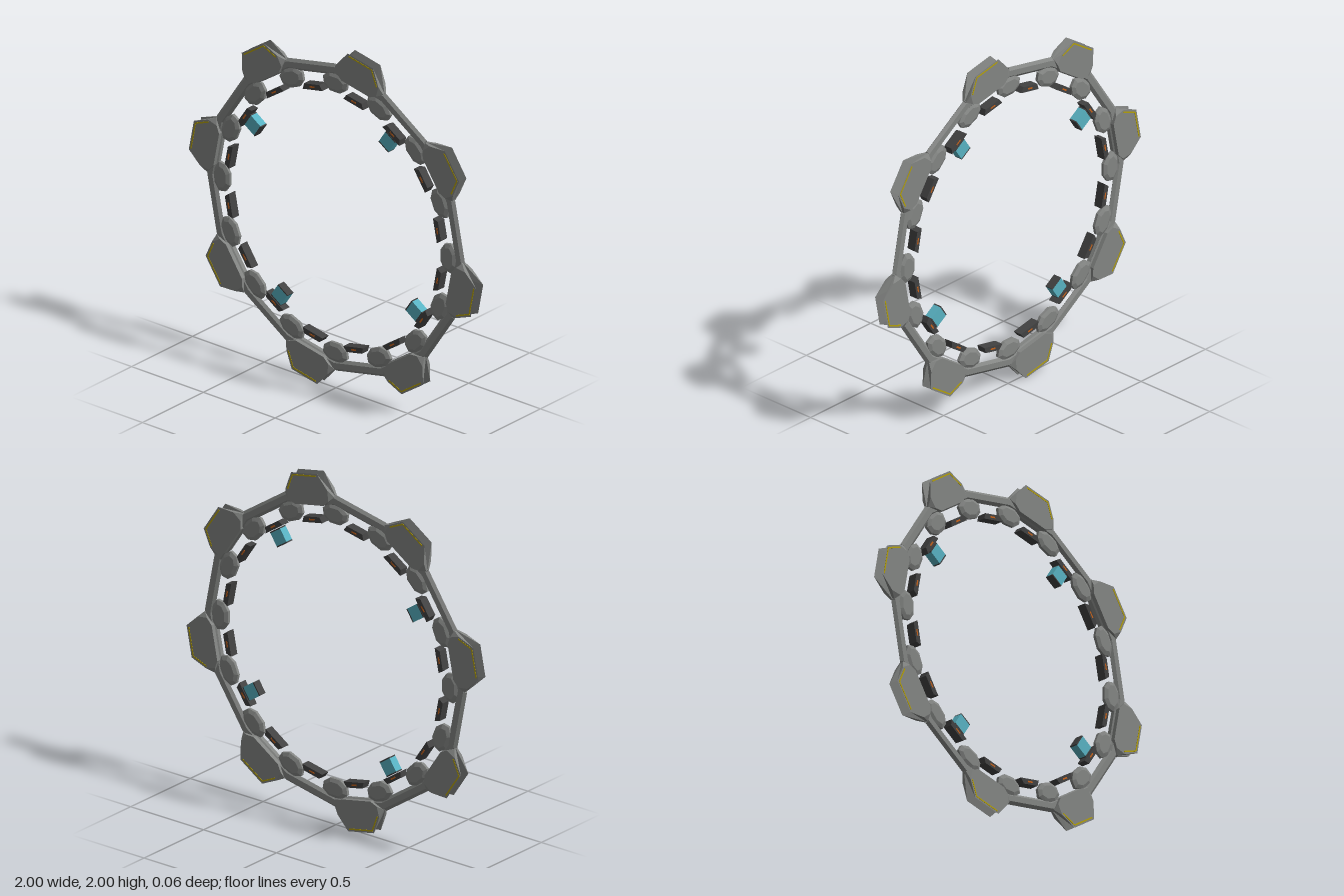
import * as THREE from 'three';
import { ConvexGeometry } from 'three/addons/geometries/ConvexGeometry.js';

const mat = (name, color) => {
  const m = new THREE.MeshStandardMaterial({ color });
  m.name = name;
  return m;
};

export function createModel() {
  const grey = mat('hull grey', 0x838583);
  const dark = mat('dark panel', 0x424242);
  const blue = mat('teal', 0x58b2c2);
  const yellow = mat('trim yellow', 0xb4a008);
  const orange = mat('lamp orange', 0xc4621c);

  const model = new THREE.Group();
  model.name = 'ringStation';
  const ring = new THREE.Group();
  ring.name = 'ring';
  ring.position.y = 1;
  model.add(ring);

  const add = (parent, name, geometry, material, x = 0, y = 0, z = 0) => {
    const m = new THREE.Mesh(geometry, material);
    m.name = name;
    m.position.set(x, y, z);
    parent.add(m);
    return m;
  };
  // A holder turned clockwise from the top; local y points outward
  const spoke = (name, degrees) => {
    const g = new THREE.Group();
    g.name = name;
    g.rotation.z = -THREE.MathUtils.degToRad(degrees);
    ring.add(g);
    return g;
  };
  // Convex solid from points mirrored across x
  const mirroredHull = (points) => new ConvexGeometry(
    points.flatMap(([x, y, z]) => [new THREE.Vector3(x, y, z), new THREE.Vector3(-x, y, z)]));

  // Armour half: flat face, bevelled ends, outer edge cut back to a central groove
  const half = (s) => mirroredHull([
    [0.09, 1.002, 0.03 * s], [0.145, 0.913, 0.03 * s], [0.172, 0.872, 0.012 * s],
    [0.172, 0.872, 0], [0.14, 0.85, 0.03 * s], [0.1, 0.825, 0.03 * s],
    [0.1, 0.825, 0], [0.09, 0.89, 0],
  ]);
  const halves = [1, -1].map((s) => [s, half(s)]);

  // Node: faceted lump, wide across the ring and shallow in depth
  const rim = [[0.085, 0.808], [0.077, 0.765], [0.035, 0.735], [0.04, 0.843]];
  const nodeGeo = mirroredHull(rim.flatMap(([x, y]) => [1, -1].flatMap((s) => [
    [x, y, 0.008 * s], [x * 0.72, 0.79 + (y - 0.79) * 0.65, 0.018 * s],
  ])));

  // Panel: trapezoid block
  const panelGeo = mirroredHull([1, -1].flatMap((s) => [
    [0.054, 0.757, 0.026 * s], [0.07, 0.725, 0.026 * s],
  ]));

  // Beam: six-sided bar with two corners on the radial axis, one chord of the ring
  const beamGeo = new THREE.CylinderGeometry(1, 1, 0.345, 6).toNonIndexed();
  beamGeo.rotateZ(Math.PI / 2);
  beamGeo.rotateX(Math.PI / 2);
  beamGeo.scale(1, 0.032, 0.017);
  beamGeo.computeVertexNormals();

  const stripe = (parent, [x1, y1], [x2, y2], z) => {
    const g = new THREE.BoxGeometry(Math.hypot(x2 - x1, y2 - y1), 0.008, 0.002);
    const m = add(parent, 'trimStripe', g, yellow, (x1 + x2) / 2, (y1 + y2) / 2, z);
    m.rotation.z = Math.atan2(y2 - y1, x2 - x1);
  };

  for (let i = 0; i < 16; i++) {
    const section = spoke('section', (i + 0.5) * 22.5);
    add(section, 'beam', beamGeo, grey, 0, 0.85, 0);
    add(section, 'panel', panelGeo, dark);
    add(section, 'panelLamp', new THREE.BoxGeometry(0.036, 0.009, 0.0535), orange, 0, 0.741, 0);
    add(spoke('joint', i * 22.5), 'node', nodeGeo, grey);

    // Armour on every second section, trimmed on its outer and clockwise edges
    if (i % 2 === 0) {
      for (const [s, geo] of halves) {
        add(section, 'armour', geo, grey);
        stripe(section, [-0.08, 0.989], [0.082, 0.989], 0.0305 * s);
        stripe(section, [0.082, 0.989], [0.133, 0.907], 0.0305 * s);
      }
    }
    // Four cabins on the inside of the ring, with dark floor and roof
    if (i % 4 === 1) {
      add(section, 'cabin', new THREE.BoxGeometry(0.08, 0.078, 0.048), blue, 0, 0.676, 0);
      for (const y of [0.6335, 0.718]) {
        add(section, 'cabinCap', new THREE.BoxGeometry(0.08, 0.007, 0.048), dark, 0, y, 0);
      }
    }
  }
  return model;
}
